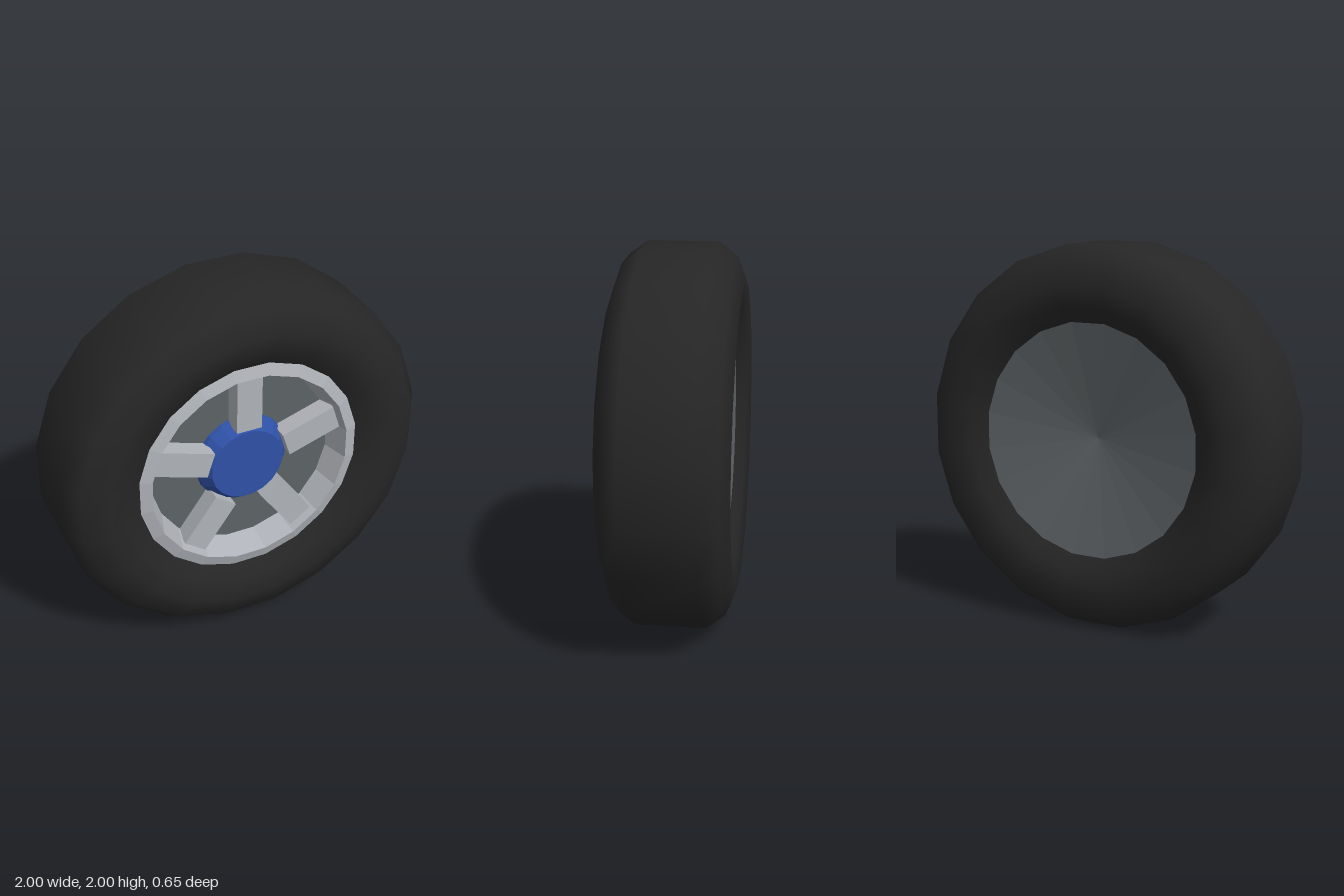
import * as THREE from 'three';

const SIDES = 20;
const material = (name, color) => {
  const m = new THREE.MeshStandardMaterial({ color });
  m.name = name;
  return m;
};

// Turns [radius, z] pairs around the z axis; radii are measured to the flats.
function turned(name, profile, mat, { sides = SIDES, flat = true } = {}) {
  const k = 1 / Math.cos(Math.PI / sides);
  const points = profile.map(([r, z]) => new THREE.Vector2(r * k, z));
  let geo = new THREE.LatheGeometry(points, sides, Math.PI / sides);
  geo.rotateX(Math.PI / 2);
  if (flat) {
    geo = geo.toNonIndexed();
    geo.computeVertexNormals();
  }
  const mesh = new THREE.Mesh(geo, mat);
  mesh.name = name;
  return mesh;
}

export function createModel() {
  const rubber = material('black rubber', 0x262626);
  const silver = material('silver metal', 0xb0b3b9);
  const darkMetal = material('dark grey metal', 0x5d6265);
  const blue = material('blue hub paint', 0x2f51a6);

  const wheel = new THREE.Group();
  wheel.name = 'wheel';

  // Tyre: one half of the section, mirrored to the other side
  const half = [[1, 0.185], [0.93, 0.28], [0.8, 0.327], [0.69, 0.3], [0.612, 0.25]];
  const section = [...half.map(([r, z]) => [r, -z]).reverse(), ...half];
  wheel.add(turned('tyre', section, rubber, { flat: false }));

  // Rim lip and its tapering inner wall
  wheel.add(turned('rim', [[0.615, 0.25], [0.55, 0.27], [0.505, 0.13]], silver));

  // Flat disc behind the spokes, and the shallow dished back
  wheel.add(turned('frontDisc', [[0.505, 0.13], [0, 0.13]], darkMetal));
  wheel.add(turned('backPlate', [[0, -0.14], [0.615, -0.25]], darkMetal));

  // Hub with bevelled side
  wheel.add(turned('hub', [[0.255, 0.13], [0.25, 0.15], [0.2, 0.215], [0, 0.215]], blue));

  // Five spokes, the first pointing up
  const spokeGeo = new THREE.BoxGeometry(0.14, 0.305, 0.115);
  spokeGeo.translate(0, 0.3775, 0.1775);
  for (let i = 0; i < 5; i++) {
    const spoke = new THREE.Mesh(spokeGeo, silver);
    spoke.name = `spoke${i + 1}`;
    spoke.rotation.z = (i * Math.PI * 2) / 5;
    wheel.add(spoke);
  }

  wheel.position.y = 1;
  const model = new THREE.Group();
  model.name = 'wheelModel';
  model.add(wheel);
  return model;
}
